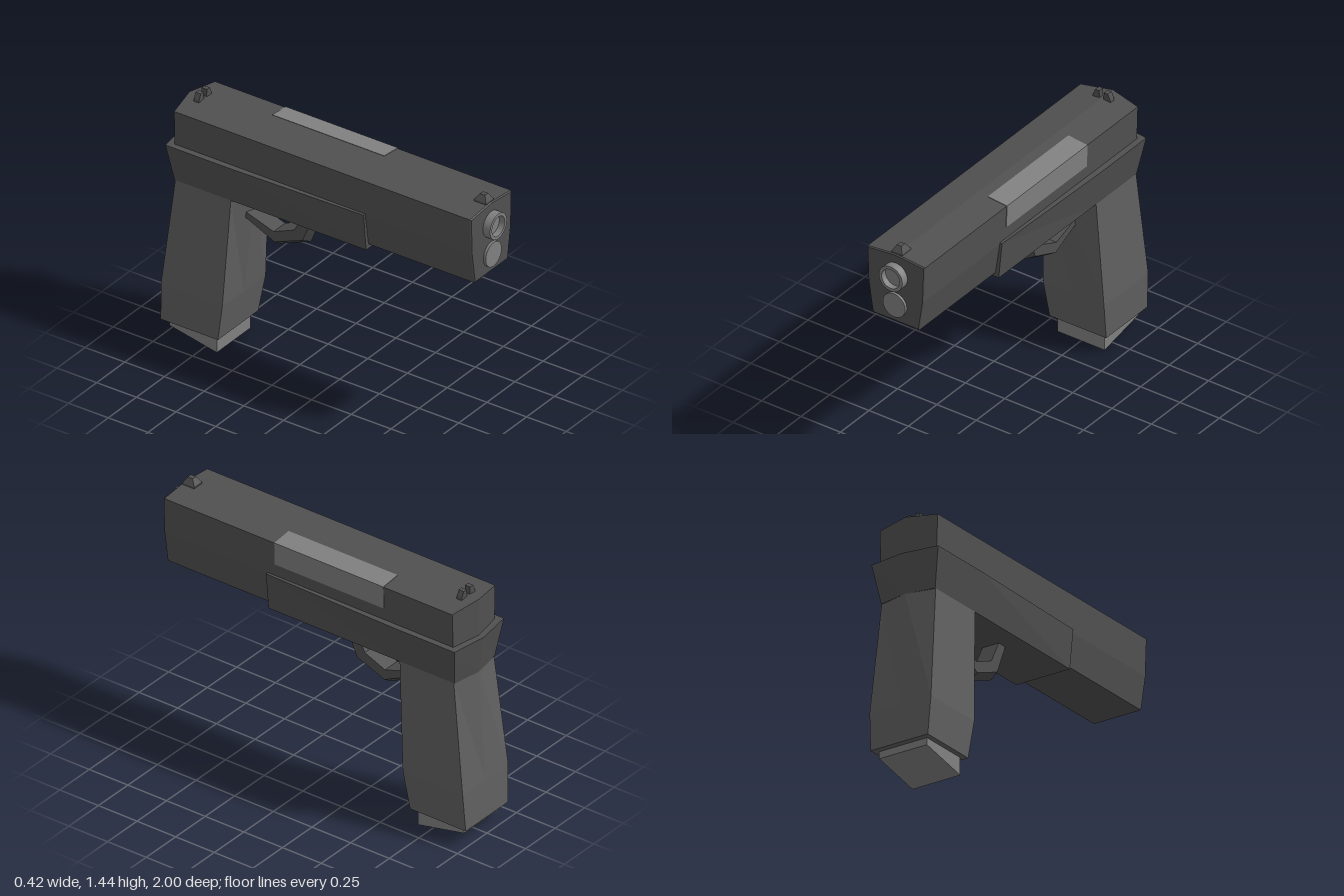
import * as THREE from 'three';
import { toCreasedNormals } from 'three/addons/utils/BufferGeometryUtils.js';

const mat = (color) => new THREE.MeshStandardMaterial({ color });
const DARK = mat(0x505050), GRIP = mat(0x606060), METAL = mat(0x808080);

// Complete a half outline (x >= 0) with its mirror image
const mirror = (half) => half.concat(
  half.filter((p) => p[0] > 0).reverse().map(([x, y, z]) => [-x, y, z]));

// Faceted solid through closed sections with equal point counts, ends capped
function loft(sections) {
  const tris = [], n = sections[0].length;
  for (let s = 0; s < sections.length - 1; s++) {
    const a = sections[s], b = sections[s + 1];
    for (let i = 0; i < n; i++) {
      const j = (i + 1) % n;
      tris.push([a[i], a[j], b[j]], [a[i], b[j], b[i]]);
    }
  }
  const first = sections[0], last = sections[sections.length - 1];
  for (let i = 1; i < n - 1; i++) {
    tris.push([first[0], first[i + 1], first[i]], [last[0], last[i], last[i + 1]]);
  }
  // Turn the faces outward if the enclosed volume comes out negative
  const v = (p) => new THREE.Vector3(...p);
  const volume = tris.reduce((sum, [a, b, c]) => sum + v(a).dot(v(b).cross(v(c))), 0);
  if (volume < 0) tris.forEach((t) => t.reverse());
  const geo = new THREE.BufferGeometry();
  geo.setAttribute('position', new THREE.Float32BufferAttribute(tris.flat(2), 3));
  geo.computeVertexNormals();
  return geo;
}

// Rectangular section at height y
const rect = (x0, x1, z0, z1, y) => [[x0, y, z0], [x1, y, z0], [x1, y, z1], [x0, y, z1]];

export function createModel() {
  const model = new THREE.Group();
  const add = (name, geo, material) => {
    const mesh = new THREE.Mesh(geo, material);
    mesh.name = name;
    model.add(mesh);
  };

  // Slide: ridged top, tapered lower sides, slightly pointed back
  const slideHalf = [[0, 1.397], [0.182, 1.38], [0.175, 1.17], [0.147, 0.986], [0, 0.986]];
  const slideAt = (zAt, k = 1) => mirror(slideHalf.map(
    ([x, y]) => [x * k, 1.19 + (y - 1.19) * k, zAt(x)]));
  add('slide', loft([
    slideAt((x) => -0.947 + 0.18 * x),
    slideAt(() => 0.948),
    slideAt(() => 0.955, 0.975),
  ]), DARK);

  // Frame: flares upward and toward the back
  add('frame', loft([
    mirror([[0, 0.96, -0.95], [0.17, 0.96, -0.92], [0.17, 0.96, -0.55], [0.168, 0.96, 0.285], [0, 0.96, 0.285]]),
    mirror([[0, 1.18, -0.98], [0.21, 1.18, -0.95], [0.21, 1.18, -0.55], [0.19, 1.18, 0.285], [0, 1.18, 0.285]]),
  ]), DARK);

  // Grip: height, half width, back centre, back side, front side, front centre
  add('grip', loft([
    [0.1, 0.18, -1, -1, -0.64, -0.64],
    [0.32, 0.193, -0.99, -0.99, -0.603, -0.603],
    [0.965, 0.17, -0.95, -0.915, -0.565, -0.525],
  ].map(([y, w, bc, bs, fs, fc]) => mirror([[0, y, bc], [w, y, bs], [w, y, fs], [0, y, fc]]))), GRIP);

  // Magazine base with a sloping underside
  add('magazine', loft([
    [[-0.15, 0.06, -0.965], [0.15, 0.06, -0.965], [0.15, 0, -0.668], [-0.15, 0, -0.668]],
    rect(-0.15, 0.15, -0.965, -0.668, 0.2),
  ]), METAL);

  // Trigger guard: [z, y] of outer ridge, shoulder and inner face at each bend
  add('triggerGuard', loft([
    [[-0.095, 0.98], [-0.118, 0.98], [-0.175, 0.98]],
    [[-0.18, 0.765], [-0.198, 0.79], [-0.25, 0.835]],
    [[-0.375, 0.685], [-0.375, 0.72], [-0.38, 0.78]],
    [[-0.59, 0.787], [-0.59, 0.82], [-0.59, 0.85]],
  ].map(([r, s, i]) => mirror([[0, r[1], r[0]], [0.052, s[1], s[0]], [0.052, i[1], i[0]]]))), DARK);

  // Ejection port wrapping over the left upper edge
  add('ejectionPort', loft([0.235, -0.47].map((z) => [
    [0.1, 1.34, z], [0.063, 1.395, z], [0.185, 1.383, z], [0.181, 1.25, z]])), METAL);

  // Muzzle ring and the round plug beneath it
  const turned = (y, points) => toCreasedNormals(
    new THREE.LatheGeometry(points.map((p) => new THREE.Vector2(...p)), 32)
      .rotateX(Math.PI / 2).translate(0, y, 0), 0.6);
  add('muzzle', turned(1.27, [[0.075, 0.93], [0.075, 1], [0.057, 1], [0.057, 0.965], [0, 0.965]]), METAL);
  add('recoilPlug', turned(1.092, [[0.071, 0.93], [0.071, 0.97], [0, 0.97]]), METAL);

  // Sights
  add('frontSight', loft([
    rect(-0.033, 0.033, 0.868, 0.945, 1.385),
    rect(-0.033, 0.033, 0.868, 0.945, 1.403),
    rect(-0.014, 0.014, 0.893, 0.925, 1.437),
  ]), DARK);
  for (const s of [1, -1]) {
    add(s > 0 ? 'rearSightLeft' : 'rearSightRight', loft([
      rect(s * 0.013, s * 0.058, -0.88, -0.847, 1.385),
      rect(s * 0.013, s * 0.055, -0.88, -0.847, 1.405),
      rect(s * 0.015, s * 0.04, -0.88, -0.847, 1.438),
    ]), DARK);
  }
  return model;
}
